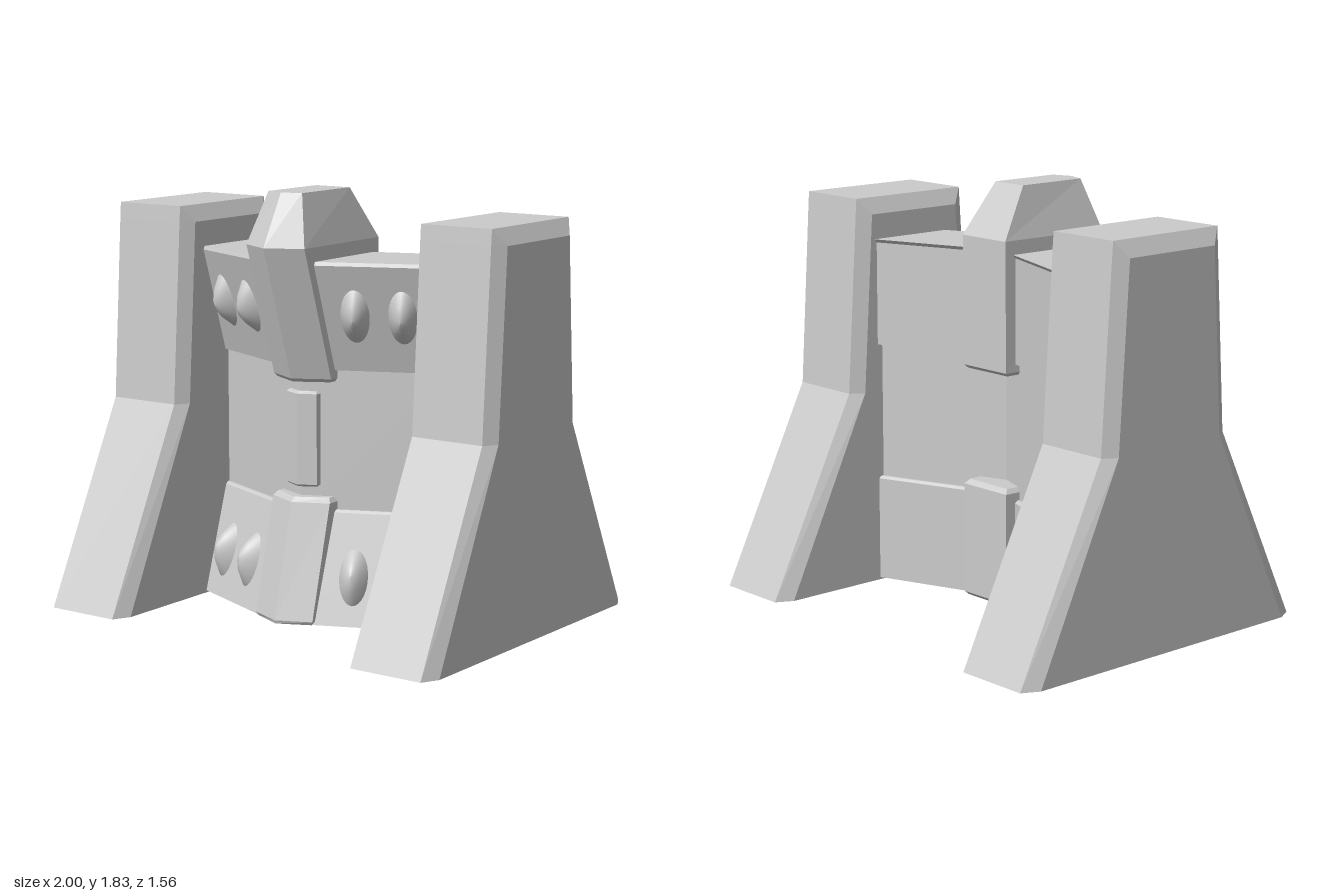
import * as THREE from 'three';

const grey = new THREE.MeshStandardMaterial({ color: 0xcccccc });

// Faceted solid through rings of [x, y, z], each counter-clockwise seen from above
function loft(name, rings) {
  const n = rings[0].length, index = [];
  for (let r = 0; r + 1 < rings.length; r++) {
    for (let i = 0; i < n; i++) {
      const a = r * n + i, b = r * n + (i + 1) % n;
      index.push(a, b, b + n, a, b + n, a + n);
    }
  }
  const top = (rings.length - 1) * n;
  for (let i = 1; i + 1 < n; i++) {
    index.push(0, i + 1, i, top, top + i, top + i + 1);
  }
  const indexed = new THREE.BufferGeometry();
  indexed.setAttribute('position', new THREE.Float32BufferAttribute(rings.flat(2), 3));
  indexed.setIndex(index);
  const geometry = indexed.toNonIndexed();
  geometry.computeVertexNormals();
  const mesh = new THREE.Mesh(geometry, grey);
  mesh.name = name;
  return mesh;
}

// Tower section: rectangle with chamfered corners
function towerRing(y, halfDepth, chamfer, halfWidth = 0.207) {
  const w = 0.168, d = halfDepth, s = halfDepth - chamfer;
  return [[w, -d], [-w, -d], [-halfWidth, -s], [-halfWidth, s], [-w, d], [w, d], [halfWidth, s], [halfWidth, -s]]
    .map(([x, z]) => [x, y, z]);
}

// Wall section: chevron swept back towards the towers
const FRONT_SWEEP = 0.43, BACK_SWEEP = 0.36, WALL_X = 0.62;
function wallRing(y, front, back) {
  const fe = front - FRONT_SWEEP * WALL_X, be = back - BACK_SWEEP * WALL_X;
  return [[0, y, back], [-WALL_X, y, be], [-WALL_X, y, fe], [0, y, front], [WALL_X, y, fe], [WALL_X, y, be]];
}

// Column section: flat back, pointed front
function columnRing(y, w, back, shoulder, point, backW = w) {
  return [[backW, y, back], [-backW, y, back], [-w, y, shoulder], [0, y, point], [w, y, shoulder]];
}

export function createModel() {
  const model = new THREE.Group();
  model.name = 'gateway';

  // Flared towers
  for (const side of [-1, 1]) {
    const tower = loft(side > 0 ? 'leftTower' : 'rightTower', [
      towerRing(0, 0.78, 0.075),
      towerRing(0.87, 0.35, 0.06),
      towerRing(1.66, 0.3, 0.06),
      towerRing(1.73, 0.295, 0, 0.168),
    ]);
    tower.position.x = side * 0.793;
    model.add(tower);
  }

  // Wall: recessed middle between two bands that lean outwards
  model.add(
    loft('middleWall', [wallRing(0.46, 0.27, 0.02), wallRing(1.1, 0.27, 0.02)]),
    loft('upperBand', [
      wallRing(1.08, 0.29, -0.005), wallRing(1.535, 0.437, -0.005), wallRing(1.55, 0.43, -0.018),
    ]),
    loft('lowerBand', [
      wallRing(0.01, 0.44, -0.005), wallRing(0.47, 0.293, -0.005), wallRing(0.48, 0.28, 0.008),
    ]),
  );

  // Central column pieces
  model.add(
    loft('upperKeystone', [
      columnRing(1.03, 0.14, -0.09, 0.245, 0.32, 0.125),
      columnRing(1.045, 0.15, -0.105, 0.255, 0.335, 0.135),
      columnRing(1.61, 0.15, -0.11, 0.44, 0.52, 0.135),
      columnRing(1.83, 0.087, 0.035, 0.37, 0.4),
    ]),
    loft('columnFoot', [
      columnRing(0.01, 0.14, -0.09, 0.385, 0.45, 0.125),
      columnRing(0.025, 0.15, -0.105, 0.39, 0.455, 0.135),
      columnRing(0.515, 0.15, -0.105, 0.265, 0.335, 0.135),
      columnRing(0.535, 0.135, -0.085, 0.245, 0.315, 0.12),
    ]),
    loft('centrePanel', [
      columnRing(0.575, 0.07, 0.1, 0.25, 0.285),
      columnRing(0.585, 0.08, 0.1, 0.262, 0.297),
      columnRing(0.975, 0.08, 0.1, 0.262, 0.297),
      columnRing(0.985, 0.07, 0.1, 0.25, 0.285),
    ]),
  );

  // Oval studs set square to the sloping bands
  const studGeometry = new THREE.LatheGeometry(
    [[1, -0.2], [1, 0], [0.55, 0.65], [0.25, 0.92], [0, 1]].map(([x, y]) => new THREE.Vector2(x, y)), 28);
  studGeometry.rotateX(Math.PI / 2);
  const lean = 0.32;
  for (const [y, dir] of [[1.32, 1], [0.21, -1]]) {
    const front = dir > 0 ? 0.29 + lean * (y - 1.08) : 0.44 - lean * (y - 0.01);
    for (const x of [-0.475, -0.28, 0.27, 0.455]) {
      const stud = new THREE.Mesh(studGeometry, grey);
      stud.name = 'stud';
      stud.scale.set(0.062, 0.12, 0.065);
      stud.position.set(x, y, front - FRONT_SWEEP * Math.abs(x));
      const normal = new THREE.Vector3(FRONT_SWEEP * Math.sign(x), -lean * dir, 1);
      stud.lookAt(stud.position.clone().add(normal));
      model.add(stud);
    }
  }
  return model;
}
